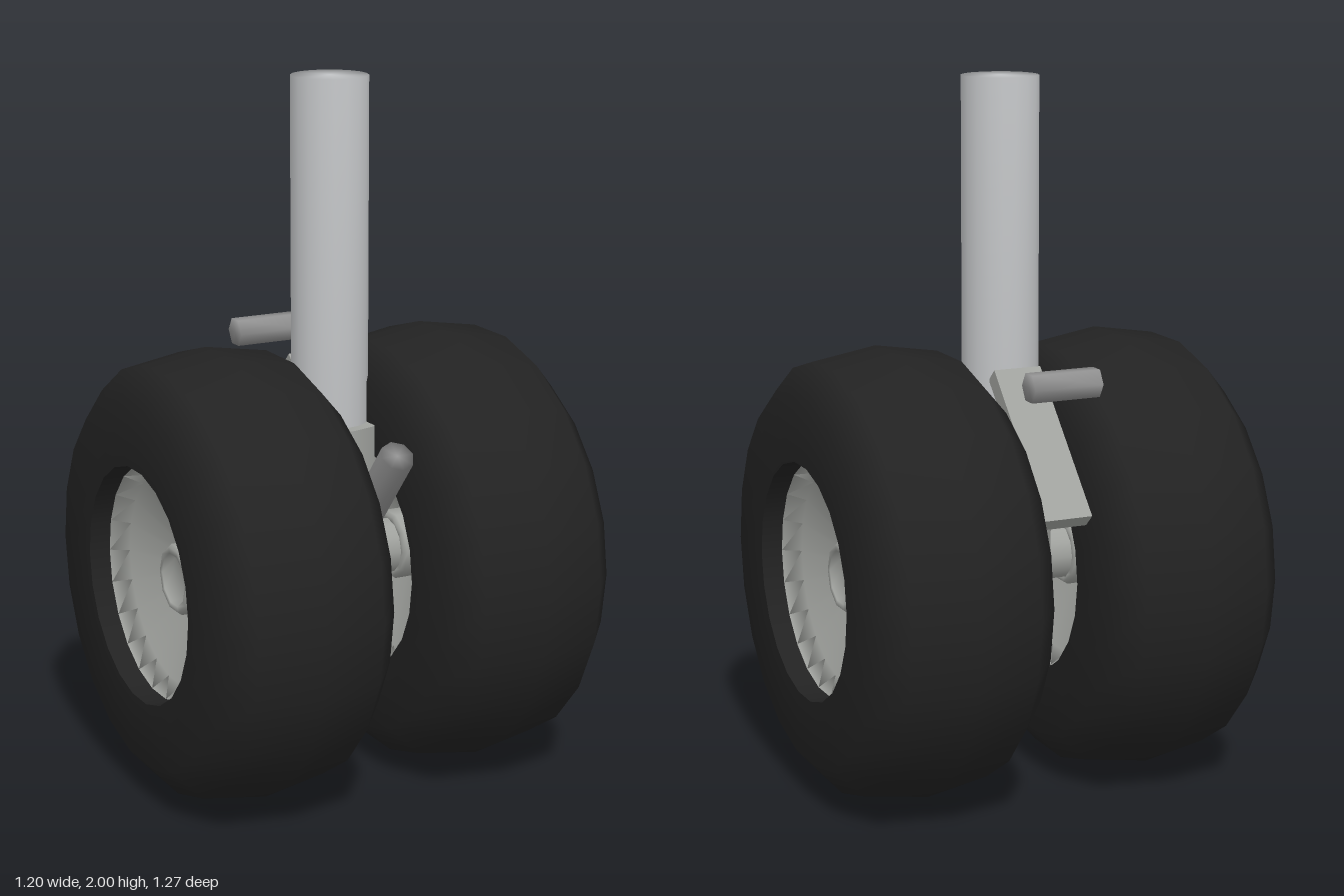
import * as THREE from 'three';
import { mergeVertices } from 'three/addons/utils/BufferGeometryUtils.js';

const material = (name, color) => {
  const m = new THREE.MeshStandardMaterial({ color });
  m.name = name;
  return m;
};

export function createModel() {
  const rubber = material('black rubber', 0x222222);
  const chrome = material('bright strut metal', 0xc4c6c8);
  const steel = material('grey metal', 0xa0a29e);
  const linkMetal = material('dark grey metal', 0x909090);

  const model = new THREE.Group();
  model.name = 'landingGear';

  const add = (parent, name, geometry, mat) => {
    const mesh = new THREE.Mesh(geometry, mat);
    mesh.name = name;
    parent.add(mesh);
    return mesh;
  };

  // Cylinder whose shading rolls softly over its end caps
  const softCylinder = (radius, length, sides) => {
    const g = new THREE.CylinderGeometry(radius, radius, length, sides);
    g.deleteAttribute('uv');
    g.deleteAttribute('normal');
    const merged = mergeVertices(g);
    merged.computeVertexNormals();
    return merged;
  };

  // Lathe turned so that its axis runs along x
  const latheX = (points, sides) =>
    new THREE.LatheGeometry(points.map(([r, a]) => new THREE.Vector2(r, a)), sides)
      .rotateZ(-Math.PI / 2);

  // Complete a half profile, given from the middle outwards, on both sides
  const mirrored = (half) => [
    ...half.filter(([, a]) => a > 0).map(([r, a]) => [r, -a]).reverse(),
    ...half,
  ];

  // Main strut and the sleeve around its foot
  add(model, 'strut', softCylinder(0.108, 1.1, 18), chrome).position.y = 1.45;
  const sleeve = new THREE.CylinderGeometry(0.145, 0.145, 0.54, 12);
  add(model, 'sleeve', sleeve, steel).position.y = 0.76;

  // Cross axle
  const axle = softCylinder(0.08, 0.86, 12).rotateZ(Math.PI / 2);
  add(model, 'axle', axle, steel).position.y = 0.63;

  // Twin wheels
  const tireProfile = mirrored([
    [0.635, 0], [0.605, 0.185], [0.52, 0.26], [0.335, 0.26],
  ]);
  const boreProfile = [[0.335, 0.26], [0.335, -0.26]];
  const rimProfile = mirrored([
    [0.331, 0], [0.331, 0.2], [0.3, 0.15], [0.1, 0.075],
  ]);
  const hubProfile = mirrored([
    [0.1, 0], [0.1, 0.14], [0.092, 0.15], [0.075, 0.15], [0.07, 0.12], [0, 0.12],
  ]);
  for (const side of [-1, 1]) {
    const wheel = new THREE.Group();
    wheel.name = side > 0 ? 'leftWheel' : 'rightWheel';
    wheel.position.set(side * 0.34, 0.63, 0);
    add(wheel, 'tire', latheX(tireProfile, 22), rubber);
    add(wheel, 'tireBore', latheX(boreProfile, 22), rubber);
    add(wheel, 'rim', latheX(rimProfile, 22), steel);
    add(wheel, 'hub', latheX(hubProfile, 10), steel);
    model.add(wheel);
  }

  // Slanted plate behind the strut
  const plate = add(model, 'rearLinkPlate', new THREE.BoxGeometry(0.14, 0.48, 0.05), steel);
  plate.position.set(0, 1.01, -0.26);
  plate.rotation.x = 0.75;

  // Short cross pin above the plate
  const pin = softCylinder(0.043, 0.2, 6).rotateZ(Math.PI / 2);
  add(model, 'rearPin', pin, linkMetal).position.set(0, 1.21, -0.4);

  // Slanted arm in front, rising forward from the sleeve
  const foot = new THREE.Vector3(0, 0.61, 0.05);
  const tip = new THREE.Vector3(0, 1.02, 0.39);
  const arm = add(model, 'frontArm', softCylinder(0.048, foot.distanceTo(tip), 8), linkMetal);
  arm.position.copy(foot).lerp(tip, 0.5);
  arm.quaternion.setFromUnitVectors(
    new THREE.Vector3(0, 1, 0), tip.clone().sub(foot).normalize());

  return model;
}
